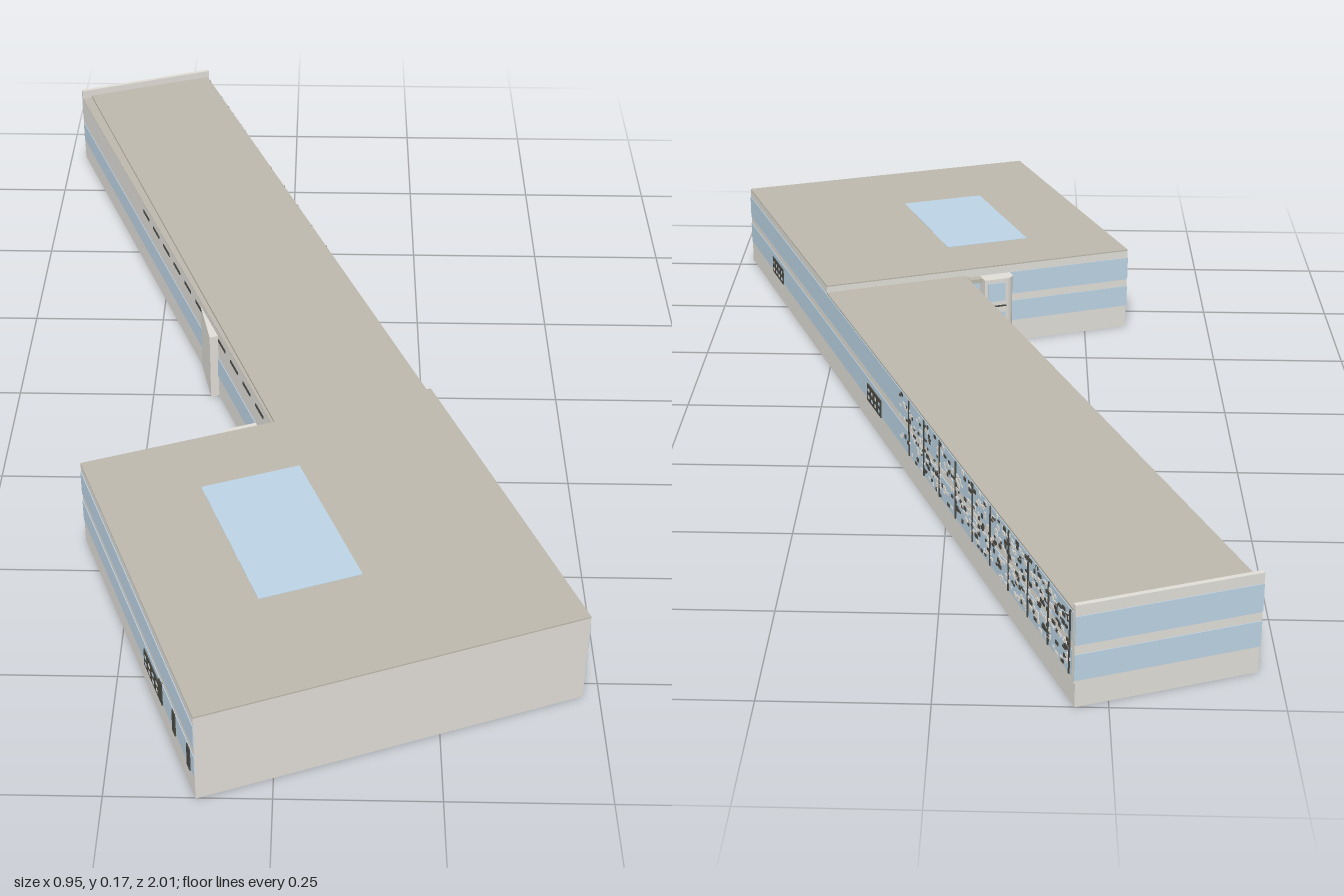
import * as THREE from 'three';

const mat = (name, color) => {
  const m = new THREE.MeshStandardMaterial({ color });
  m.name = name;
  return m;
};

export function createModel() {
  const wall = mat('wall', 0xe0ddd7);
  const roof = mat('roof', 0xbcb8ac);
  const glass = mat('glass', 0xbcd3e4);
  const dark = mat('darkMetal', 0x4a4943);

  const model = new THREE.Group();
  model.name = 'building';
  // The whole plan is turned about the vertical axis
  const plan = new THREE.Group();
  plan.name = 'turnedPlan';
  plan.rotation.y = 0.363;
  model.add(plan);

  // Box given by its limits
  const box = (name, m, x0, x1, y0, y1, z0, z1) => {
    const mesh = new THREE.Mesh(new THREE.BoxGeometry(x1 - x0, y1 - y0, z1 - z0), m);
    mesh.position.set((x0 + x1) / 2, (y0 + y1) / 2, (z0 + z1) / 2);
    mesh.name = name;
    plan.add(mesh);
  };

  // Plan outline pulled up between two heights
  const prism = (name, m, points, y0, y1) => {
    const shape = new THREE.Shape(points.map(([x, z]) => new THREE.Vector2(x, -z)));
    const mesh = new THREE.Mesh(
      new THREE.ExtrudeGeometry(shape, { depth: y1 - y0, bevelEnabled: false, curveSegments: 8 }), m);
    mesh.rotation.x = -Math.PI / 2;
    mesh.position.y = y0;
    mesh.name = name;
    plan.add(mesh);
  };

  const E = 0.167, W = -0.461, WW = -0.119, N = -1.007, M = 0.275, S = 0.896;
  const T = 0.0012, F = 0.04, K = 0.004;
  const bands = [[0.045, 0.087], [0.102, 0.148]];

  // Thin base walls standing below the raised floors
  [
    [E - K, E, N, S], [W, E - K, S - K, S], [W, W + K, M, S - K],
    [W + K, WW + K, M, M + K], [WW, WW + K, N, M], [WW + K, E - K, N, N + K],
  ].forEach(([x0, x1, z0, z1]) => box('baseWall', wall, x0, x1, 0, F, z0, z1));
  box('blockFloor', roof, W + K, E - K, F - 0.001, F + 0.002, M + K, S - K);
  box('wingFloor', roof, WW + K, E - K, F - 0.001, F + 0.002, N + K, M + K);

  // Square main block
  box('mainBlock', wall, W, E, F, 0.163, M, S);
  box('mainRoof', roof, W, E, 0.163, 0.1655, M, S);
  box('skylight', glass, -0.292, -0.122, 0.1655, 0.1662, 0.403, 0.691);

  // Long wing; its roof edge slants so a low ledge tapers along the west side
  box('wing', wall, WW, E, F, 0.146, N, M);
  prism('wingRoof', roof, [[-0.099, N], [-0.115, M], [E, M], [E, N]], 0.146, 0.1515);
  box('westLedgeTop', roof, WW, -0.098, 0.146, 0.147, N, M);

  // End panel that rises above the wing roof
  box('endPanel', wall, WW, E + 0.003, F, 0.1655, N - 0.002, N + 0.006);

  // Ribbon windows
  bands.forEach(([y0, y1]) => {
    box('eastWindow', glass, E, E + T, y0, y1, N + 0.006, S);
    box('westBlockWindow', glass, W - T, W, y0, y1, M, S);
    box('northBlockWindow', glass, W, WW, y0, y1, M - T, M);
    box('endWindow', glass, WW, E + 0.003, y0, y1, N - 0.002 - T, N - 0.002);
  });
  box('westWingWindow', glass, WW - T, WW, 0.045, 0.087, N + 0.006, M);

  // Short slots near the top of the west wall
  for (let z = -0.53; z < 0.2; z += 0.07) {
    box('westSlot', dark, WW - T, WW, 0.125, 0.131, z, z + 0.04);
  }

  // Louvred doors: dark frame with small panes
  const louvre = (x, z0, z1, side) => {
    const layer = (name, m, d0, d1, y0, y1, a, b) => {
      const [p, q] = [x + side * d0, x + side * d1];
      box(name, m, Math.min(p, q), Math.max(p, q), y0, y1, a, b);
    };
    layer('louvre', dark, 0, 0.002, 0.044, 0.077, z0, z1);
    const step = (z1 - z0) / 4;
    for (let i = 0; i < 4; i++) {
      for (const y of [0.05, 0.064]) {
        layer('louvrePane', i % 2 ? wall : glass, 0.002, 0.0026, y, y + 0.006,
          z0 + (i + 0.3) * step, z0 + (i + 0.7) * step);
      }
    }
  };
  louvre(E + T, 0.615, 0.7, 1);
  louvre(E + T, -0.085, 0, 1);
  louvre(W - T, 0.645, 0.725, -1);
  [0.732, 0.8, 0.873].forEach((z) => {
    box('westMullion', dark, W - 0.003, W, 0.043, 0.087, z - 0.007, z + 0.007);
  });

  // Pierced screen along the far east side: posts plus scattered pieces
  let seed = 7;
  const rnd = () => (seed = (seed * 16807) % 2147483647) / 2147483647;
  const screenStart = -0.25;
  for (let z = screenStart; z > -0.99; z -= 0.082) {
    box('screenPost', dark, E + T, E + 0.003, 0.045, 0.148, z - 0.0015, z + 0.0015);
  }
  for (let i = 0; i < 480; i++) {
    const z = screenStart + 0.05 - 0.79 * Math.pow(rnd(), 0.85);
    const y = 0.046 + 0.098 * rnd();
    const w = 0.004 + 0.008 * rnd();
    const h = 0.003 + 0.004 * rnd();
    box('screenPiece', i % 5 < 2 ? dark : wall, E + T, E + 0.0026, y, y + h, z - w / 2, z + w / 2);
  }

  // Wedge-shaped side porch on the west wall of the wing
  prism('sidePorch', wall, [[WW, -0.15], [WW - 0.016, -0.045], [WW, -0.045]], 0, 0.135);

  // Entrance in the inner corner: round-ended lobby with glazing, and a canopy
  const arc = [];
  for (let i = 0; i <= 8; i++) {
    const a = (i / 8) * Math.PI / 2;
    arc.push([-0.19 - 0.018 * Math.sin(a), M - 0.012 - 0.018 * Math.cos(a)]);
  }
  prism('lobby', wall, [[-0.145, M], [-0.145, M - 0.03], ...arc, [-0.208, M]], 0, 0.148);
  bands.forEach(([y0, y1]) => {
    box('lobbyWindow', glass, -0.188, -0.152, y0, y1 - 0.008, M - 0.03 - T, M - 0.03);
  });
  box('lobbySill', dark, -0.19, -0.15, 0.09, 0.093, M - 0.03 - T, M - 0.03);
  box('canopy', roof, -0.145, WW, 0.14, 0.148, M - 0.018, M);

  return model;
}
